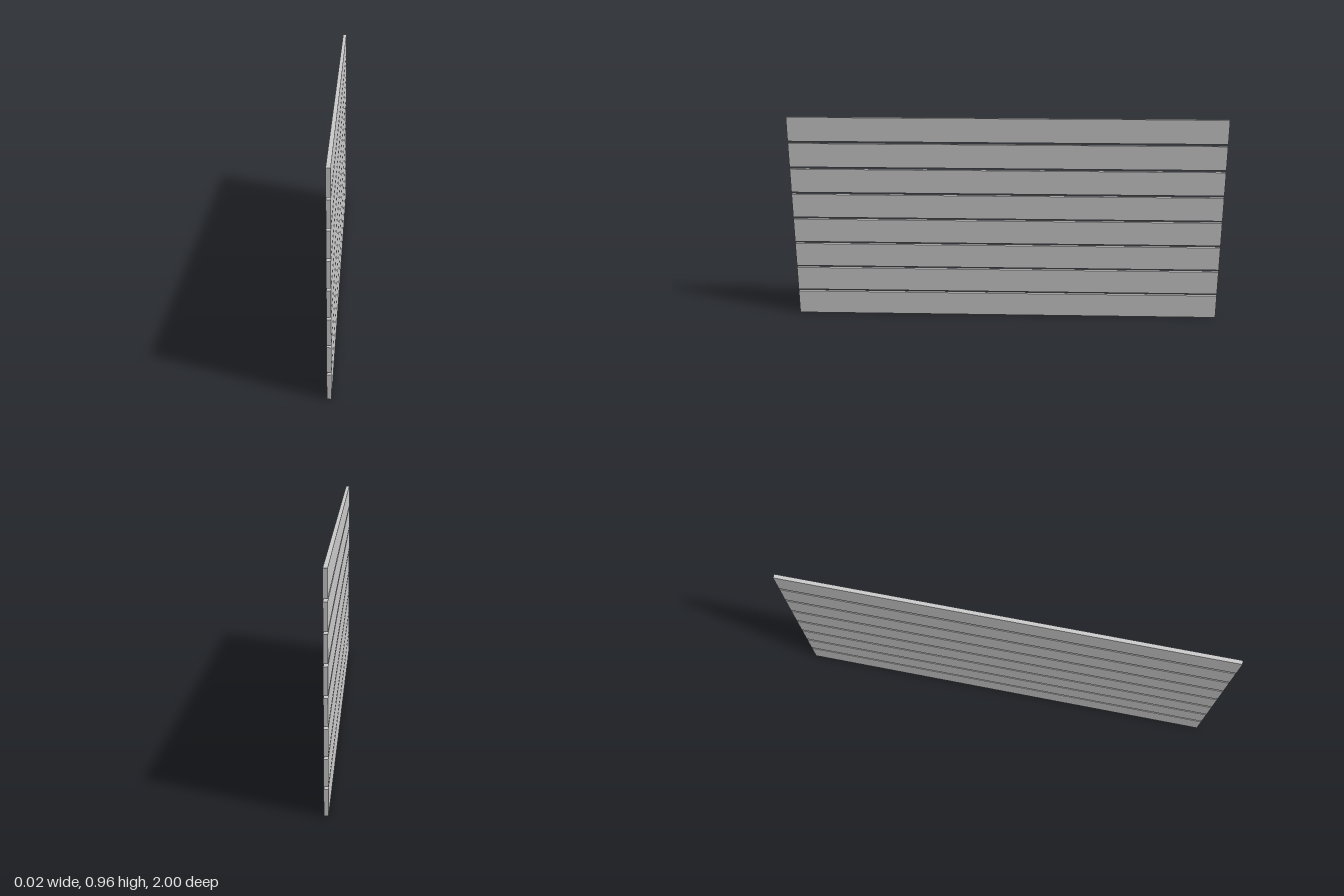
import * as THREE from 'three';

const COUNT = 8;
const PITCH = 0.1214;
const HEIGHT = 0.111;
const THICKNESS = 0.018;
const LENGTH = 2;

export function createModel() {
  const model = new THREE.Group();
  model.name = 'plankPanel';
  const material = new THREE.MeshStandardMaterial({ color: 0xcccccc });
  const geometry = new THREE.BoxGeometry(THICKNESS, HEIGHT, LENGTH);

  // Horizontal planks stacked with narrow gaps
  for (let i = 0; i < COUNT; i++) {
    const plank = new THREE.Mesh(geometry, material);
    plank.name = `plank${i + 1}`;
    plank.position.y = HEIGHT / 2 + i * PITCH;
    model.add(plank);
  }
  return model;
}
